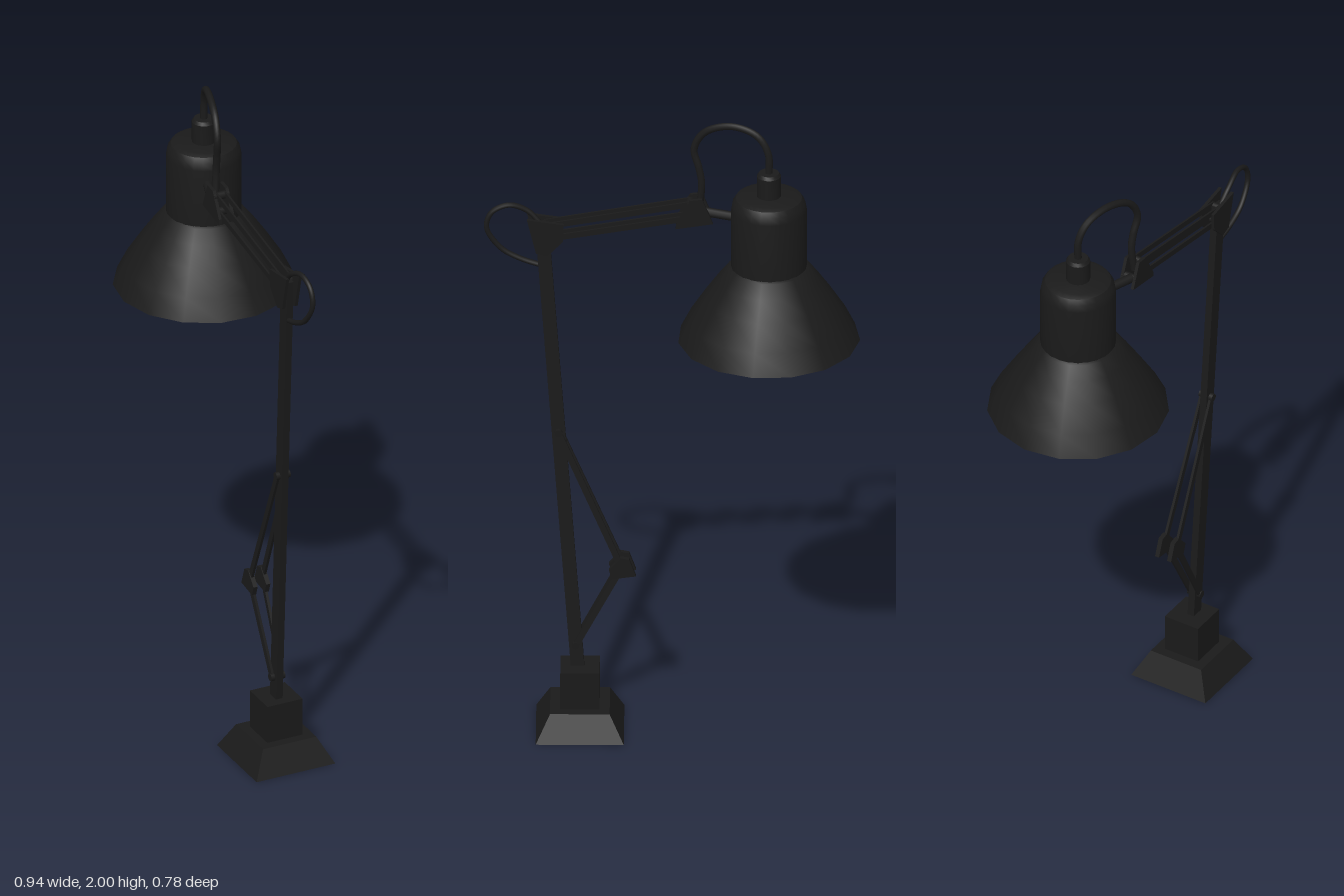
import * as THREE from 'three';
import { toCreasedNormals } from 'three/addons/utils/BufferGeometryUtils.js';

const V = (x, y, z) => new THREE.Vector3(x, y, z);

export function createModel() {
  const model = new THREE.Group();
  const black = new THREE.MeshStandardMaterial({ color: 0x1a1a1a });

  function add(parent, name, geometry) {
    const mesh = new THREE.Mesh(geometry, black);
    mesh.name = name;
    parent.add(mesh);
    return mesh;
  }

  // Stand group: local x runs along the arm, local z across it
  const stand = new THREE.Group();
  stand.name = 'stand';
  stand.position.set(0.24, 0, 0.21);
  stand.rotation.y = -0.567;
  model.add(stand);

  // Flat bar between two points
  function bar(name, a, b, width, thickness) {
    const dir = b.clone().sub(a);
    const mesh = add(stand, name, new THREE.BoxGeometry(width, dir.length(), thickness));
    mesh.position.copy(a).add(b).multiplyScalar(0.5);
    mesh.quaternion.setFromUnitVectors(V(0, 1, 0), dir.normalize());
  }

  // Flat plate from an outline in the arm plane, centred on z
  function plate(name, outline, z, thickness = 0.01) {
    const shape = new THREE.Shape(outline.map(([x, y]) => new THREE.Vector2(x, y)));
    const geo = new THREE.ExtrudeGeometry(shape, { depth: thickness, bevelEnabled: false });
    add(stand, name, geo.translate(0, 0, z - thickness / 2));
  }

  // Pin across the arm plane
  function pin(name, x, y, z, length, radius = 0.012) {
    const geo = new THREE.CylinderGeometry(radius, radius, length, 10).rotateX(Math.PI / 2);
    add(stand, name, geo).position.set(x, y, z);
  }

  // Base: sloped foot and square socket
  const foot = new THREE.CylinderGeometry(0.088 * Math.SQRT2, 0.13 * Math.SQRT2, 0.08, 4).rotateY(Math.PI / 4);
  add(stand, 'baseFoot', toCreasedNormals(foot, 0.5)).position.y = 0.04;
  add(stand, 'baseSocket', new THREE.BoxGeometry(0.116, 0.12, 0.116)).position.y = 0.14;

  // Leaning mast
  const mastFoot = V(0.006, 0.18, 0.003), mastHead = V(0.113, 1.65, 0.02);
  const onMast = (y) => mastFoot.clone().lerp(mastHead, (y - 0.18) / 1.47);
  bar('mast', mastFoot, mastHead, 0.04, 0.022);

  // Folding struts with a small elbow on each side of the mast
  const elbow = V(-0.123, 0.53, 0.004);
  for (const side of [-1, 1]) {
    const off = V(0, 0, side * 0.016), wide = V(0, 0, side * 0.021);
    bar('upperStrut', elbow.clone().add(wide), onMast(0.97).add(off), 0.018, 0.008);
    bar('lowerStrut', elbow.clone().add(wide), onMast(0.27).add(off), 0.018, 0.008);
    plate('elbowPlate', [[-0.165, 0.505], [-0.095, 0.495], [-0.085, 0.525], [-0.12, 0.565], [-0.145, 0.56]],
      elbow.z + side * 0.021, 0.014);
  }
  for (const y of [0.97, 0.27]) {
    const p = onMast(y);
    pin('strutPin', p.x, p.y, p.z, 0.046);
  }

  // Parallel arm bars and their joint plates
  const armZ = 0.02;
  for (const side of [-1, 1]) {
    const z = armZ + side * 0.014;
    bar('upperArmBar', V(-0.325, 1.725, z), V(0.105, 1.65, z), 0.018, 0.006);
    bar('lowerArmBar', V(-0.31, 1.677, z), V(0.09, 1.61, z), 0.018, 0.006);
    plate('mastJointPlate', [[0.05, 1.605], [0.098, 1.555], [0.13, 1.565], [0.157, 1.676], [0.13, 1.672], [0.048, 1.66]],
      armZ + side * 0.021);
    plate('headJointPlate', [[-0.392, 1.665], [-0.282, 1.648], [-0.284, 1.665], [-0.325, 1.742], [-0.36, 1.746]],
      armZ + side * 0.021);
  }
  pin('mastJointPin', 0.105, 1.645, armZ, 0.05);
  pin('mastJointPin', 0.09, 1.61, armZ, 0.05);
  pin('headJointPin', -0.325, 1.722, armZ, 0.05);
  pin('headJointPin', -0.312, 1.677, armZ, 0.05);
  pin('headPivot', -0.37, 1.69, armZ, 0.05);

  // Lamp head, turned about its own axis
  const head = new THREE.Group();
  head.name = 'lampHead';
  head.position.set(-0.208, 0, -0.125);
  model.add(head);
  function lathe(name, profile, segments) {
    const pts = profile.map(([r, y]) => new THREE.Vector2(r, y));
    const geo = new THREE.LatheGeometry(pts, segments, Math.PI / 2);
    add(head, name, toCreasedNormals(geo, 0.5));
  }
  lathe('shadeInside', [[0, 1.56], [0.105, 1.55], [0.165, 1.455], [0.218, 1.375], [0.262, 1.312], [0.27, 1.31]], 15);
  lathe('shade', [[0.27, 1.31], [0.238, 1.375], [0.19, 1.45], [0.15, 1.507], [0.12, 1.545], [0.112, 1.55]], 15);
  lathe('lampBody', [[0.112, 1.545], [0.112, 1.735], [0.108, 1.757], [0.098, 1.773], [0.083, 1.78], [0, 1.78]], 24);
  lathe('cableSocket', [[0.036, 1.775], [0.036, 1.845], [0.03, 1.855], [0, 1.855]], 16);

  // Short neck joining the head to the arm
  const neck = add(head, 'headNeck', new THREE.CylinderGeometry(0.014, 0.014, 0.12, 10).rotateX(Math.PI / 2));
  neck.position.set(0.083, 1.69, 0.109);
  neck.rotation.y = Math.atan2(0.083, 0.109);

  // Cable loops over the two joints
  function cable(name, points, radius) {
    const curve = new THREE.CatmullRomCurve3(points.map((p) => V(...p)));
    add(model, name, new THREE.TubeGeometry(curve, 48, radius, 8));
  }
  cable('headCable', [
    [-0.208, 1.84, -0.125], [-0.206, 1.92, -0.123], [-0.185, 1.97, -0.095], [-0.135, 1.989, -0.035],
    [-0.08, 1.96, 0.025], [-0.057, 1.9, 0.05], [-0.066, 1.84, 0.038], [-0.072, 1.79, 0.032], [-0.07, 1.71, 0.04],
  ], 0.011);
  cable('mastCable', [
    [0.325, 1.65, 0.295], [0.355, 1.69, 0.318], [0.405, 1.712, 0.342], [0.45, 1.69, 0.366],
    [0.463, 1.64, 0.374], [0.425, 1.57, 0.354], [0.375, 1.535, 0.322], [0.325, 1.515, 0.288],
  ], 0.008);

  return model;
}
